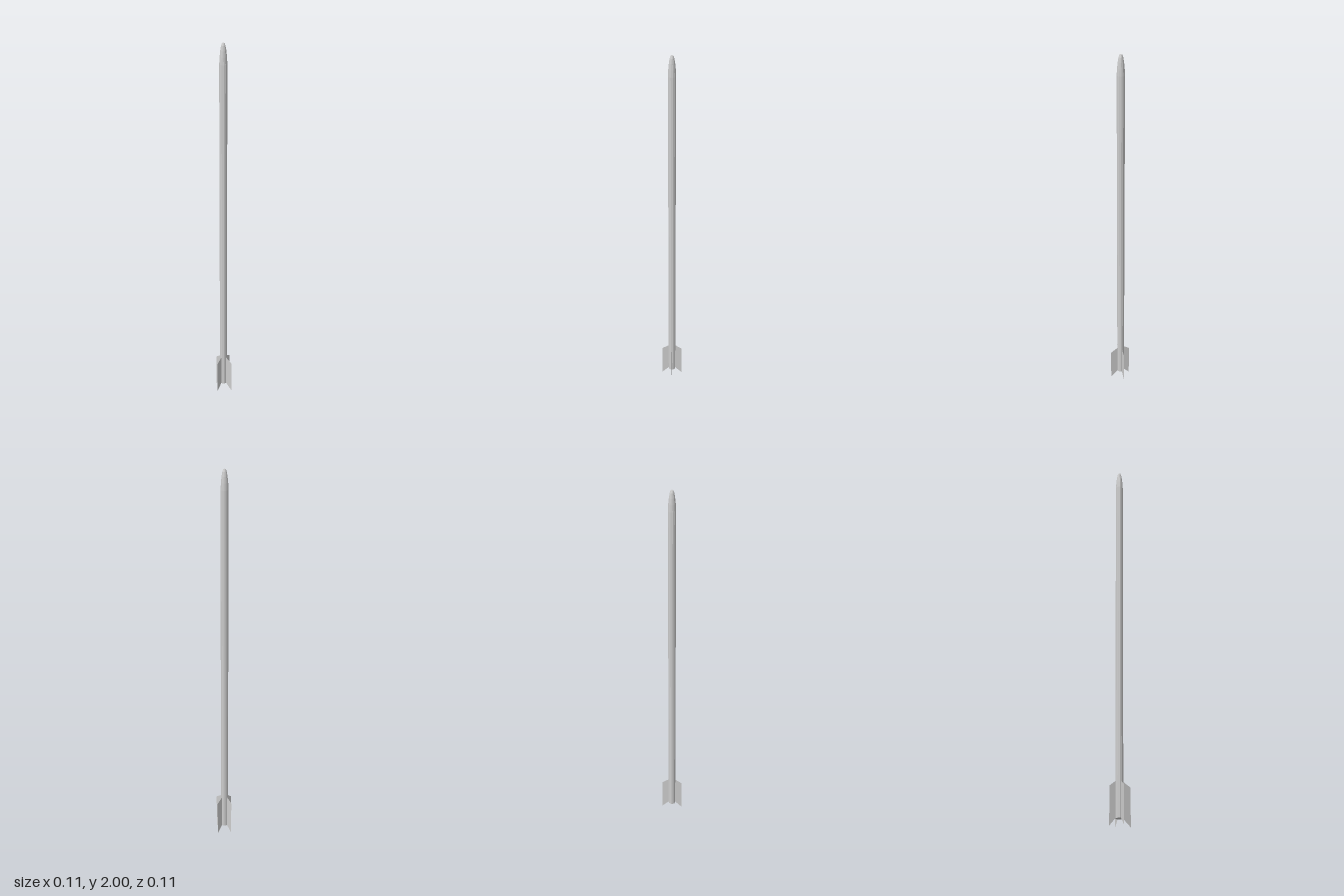
import * as THREE from 'three';

export function createModel() {
  const group = new THREE.Group();
  const axisX = -0.004;
  const bodyMat = new THREE.MeshStandardMaterial({ color: 0xcccccc, flatShading: true });
  const finMat = new THREE.MeshStandardMaterial({ color: 0xcccccc, side: THREE.DoubleSide });

  // Turned parts share the same twelve-sided section
  const turned = (name, profile) => {
    const points = profile.map(([r, y]) => new THREE.Vector2(r, y));
    const mesh = new THREE.Mesh(new THREE.LatheGeometry(points, 12, Math.PI / 12), bodyMat);
    mesh.name = name;
    mesh.position.x = axisX;
    group.add(mesh);
  };

  // Slender tube, closed at the tail
  turned('body', [[0, 0.037], [0.0195, 0.037], [0.0195, 1.9]]);

  // Rounded nose with a small flat tip
  turned('noseCone', [[0.0195, 1.9], [0.0175, 1.935], [0.0145, 1.965], [0.0105, 1.988], [0.006, 2], [0, 2]]);

  // Four thin swept fins around the tail
  const addFin = (name, span, angle) => {
    const shape = new THREE.Shape([
      new THREE.Vector2(0.017, 0.04),
      new THREE.Vector2(span, 0),
      new THREE.Vector2(span, 0.19),
      new THREE.Vector2(0.017, 0.217),
    ]);
    const fin = new THREE.Mesh(new THREE.ShapeGeometry(shape), finMat);
    fin.name = name;
    fin.position.x = axisX;
    fin.rotation.y = angle;
    group.add(fin);
  };
  addFin('leftFin', 0.059, 0);
  addFin('backFin', 0.055, Math.PI / 2);
  addFin('rightFin', 0.051, Math.PI);
  addFin('frontFin', 0.055, -Math.PI / 2);

  return group;
}
